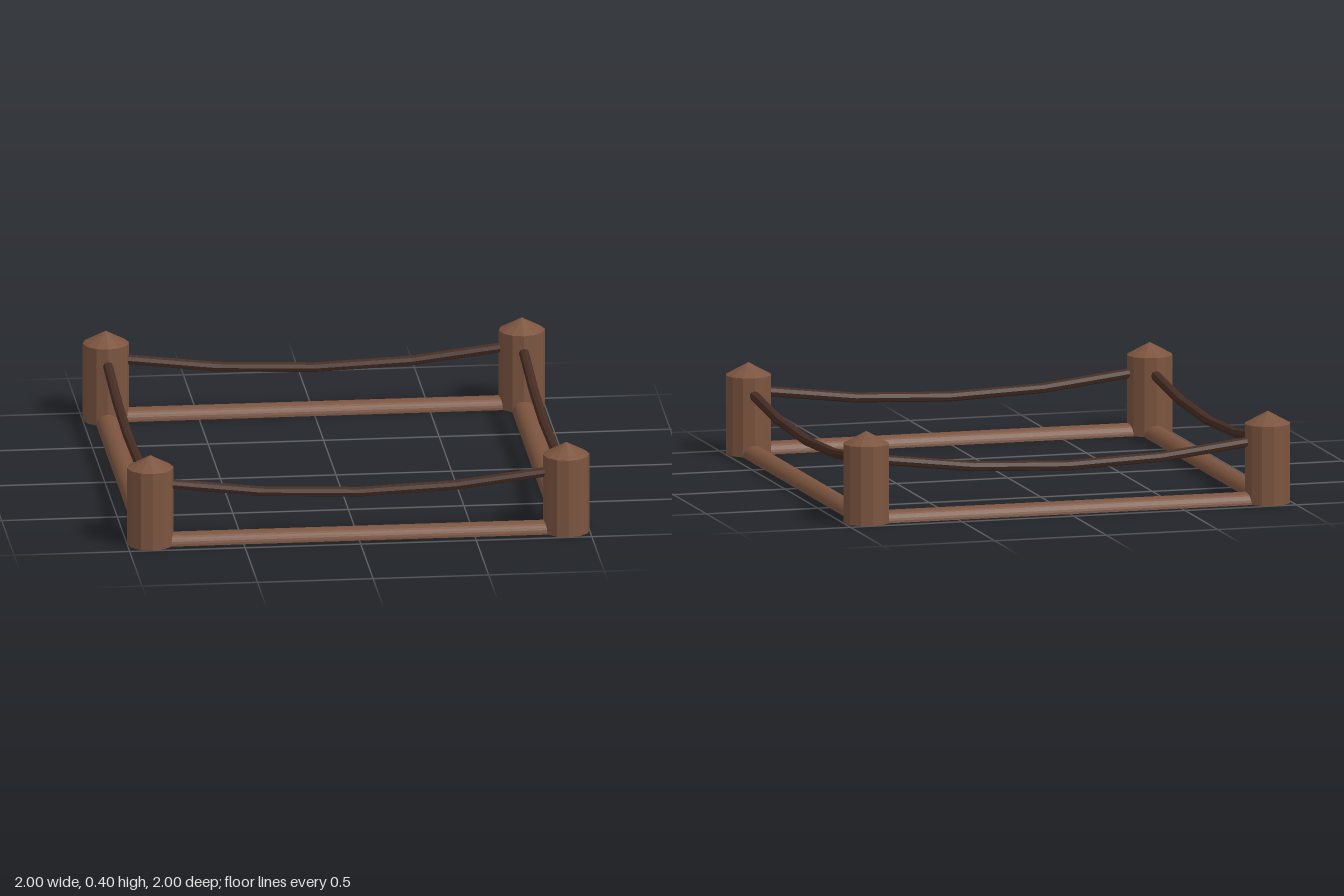
import * as THREE from 'three';

const CORNER = 0.9;      // distance of the posts from the centre lines
const POST_R = 0.1;

// Split the faces so that every facet is shaded flat
function facet(geometry) {
  const g = geometry.index ? geometry.toNonIndexed() : geometry;
  g.computeVertexNormals();
  return g;
}

export function createModel() {
  const wood = new THREE.MeshStandardMaterial({ color: 0x7b543f });
  wood.name = 'wood';
  const rope = new THREE.MeshStandardMaterial({ color: 0x462d23 });
  rope.name = 'rope';

  // Round post with a shallow pointed top
  const postGeo = facet(new THREE.LatheGeometry([
    new THREE.Vector2(0, 0),
    new THREE.Vector2(POST_R, 0),
    new THREE.Vector2(POST_R, 0.345),
    new THREE.Vector2(0, 0.4),
  ], 12));

  // Half-round log lying flat on the ground along x
  const half = new THREE.Shape();
  half.absarc(0, 0, 0.05, 0, Math.PI, false);
  half.closePath();
  const railLength = 2 * CORNER - 0.1;
  const railGeo = new THREE.ExtrudeGeometry(half, { depth: railLength, bevelEnabled: false, curveSegments: 8 });
  railGeo.translate(0, 0, -railLength / 2);
  railGeo.rotateY(Math.PI / 2);
  const railFlat = facet(railGeo);

  // Sagging rope: a parabola whose ends sit inside the posts
  const end = 0.84, low = 0.205, rise = 0.094 * end * end;
  const sag = new THREE.QuadraticBezierCurve3(
    new THREE.Vector3(-end, low + rise, 0),
    new THREE.Vector3(0, low - rise, 0),
    new THREE.Vector3(end, low + rise, 0),
  );
  const ropeGeo = facet(new THREE.TubeGeometry(sag, 4, 0.022, 8, false));

  // Four equal sides, each with one post, one rail and one rope
  const model = new THREE.Group();
  model.name = 'ropeFence';
  for (let i = 0; i < 4; i++) {
    const side = new THREE.Group();
    side.name = 'fenceSide' + (i + 1);
    side.rotation.y = (i * Math.PI) / 2;

    const post = new THREE.Mesh(postGeo, wood);
    post.name = 'post';
    post.position.set(CORNER, 0, CORNER);

    const rail = new THREE.Mesh(railFlat, wood);
    rail.name = 'groundRail';
    rail.position.z = CORNER;

    const line = new THREE.Mesh(ropeGeo, rope);
    line.name = 'rope';
    line.position.z = CORNER;

    side.add(post, rail, line);
    model.add(side);
  }
  return model;
}
